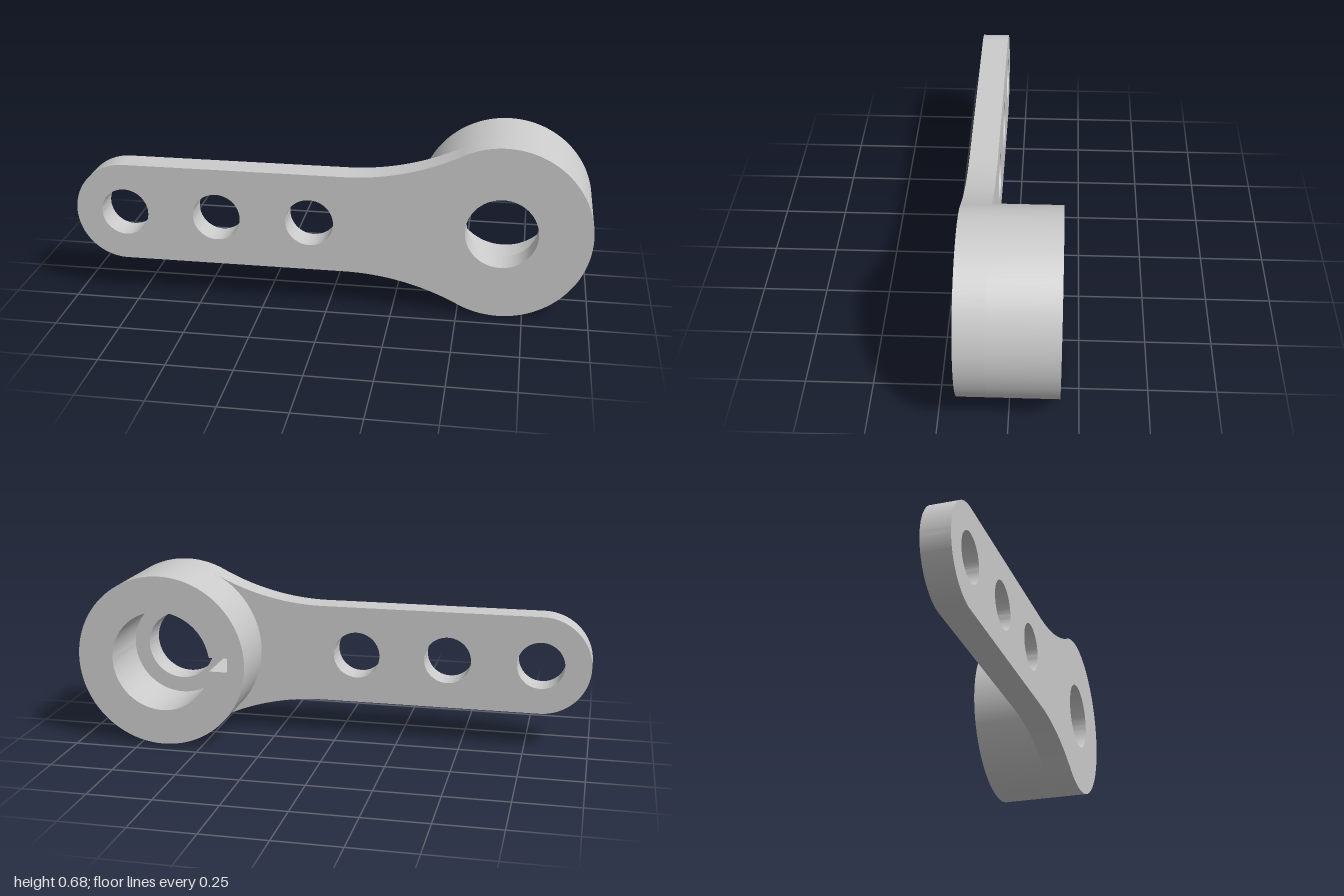
import * as THREE from 'three';
import { toCreasedNormals } from 'three/addons/utils/BufferGeometryUtils.js';

const material = new THREE.MeshStandardMaterial({ color: 0xcccccc });
const AXIS_Y = 0.341;            // height of the lever's centre line
const BACK = -0.182, SEAT = 0.073, FRONT = 0.182;
const HUB_X = 0.659, HUB_R = 0.341;
const END_X = -0.805, ARM_R = 0.195;

function circle(x, r) {
  return new THREE.Path().absarc(x, 0, r, 0, Math.PI * 2, true);
}

// Extrude a profile between two depths, smooth round the curves
function slab(name, shape, z0, z1) {
  const geometry = new THREE.ExtrudeGeometry(shape, {
    depth: z1 - z0, bevelEnabled: false, curveSegments: 64,
  });
  const mesh = new THREE.Mesh(toCreasedNormals(geometry, 0.5), material);
  mesh.name = name;
  mesh.position.set(0, AXIS_Y, z0);
  return mesh;
}

// Arm outline: round end, straight sides, concave fillets tangent to the hub
function armShape() {
  const R = 0.96;
  const filletY = ARM_R + R;
  const dx = Math.sqrt((HUB_R + R) ** 2 - filletY ** 2);
  const x0 = HUB_X - dx;
  const a = Math.atan2(filletY, dx);
  const s = new THREE.Shape();
  s.moveTo(END_X, -ARM_R);
  s.lineTo(x0, -ARM_R);
  s.absarc(x0, -filletY, R, Math.PI / 2, a, true);
  s.absarc(HUB_X, 0, HUB_R, a - Math.PI, Math.PI - a, false);
  s.absarc(x0, filletY, R, -a, -Math.PI / 2, true);
  s.lineTo(END_X, ARM_R);
  s.absarc(END_X, 0, ARM_R, Math.PI / 2, Math.PI * 1.5, false);
  // Three small holes and the narrow front bore
  for (const x of [-0.805, -0.44, -0.075]) s.holes.push(circle(x, 0.093));
  s.holes.push(circle(HUB_X, 0.138));
  return s;
}

// Hub ring: wide bore with a keyway cut towards the arm
function hubShape() {
  const bore = 0.2, keyHalf = 0.028, keyReach = 0.272;
  const k = Math.asin(keyHalf / bore);
  const s = new THREE.Shape().absarc(HUB_X, 0, HUB_R, 0, Math.PI * 2, false);
  const hole = new THREE.Path();
  hole.absarc(HUB_X, 0, bore, Math.PI - k, k - Math.PI, true);
  hole.lineTo(HUB_X - keyReach, -keyHalf);
  hole.lineTo(HUB_X - keyReach, keyHalf);
  hole.closePath();
  s.holes.push(hole);
  return s;
}

export function createModel() {
  const lever = new THREE.Group();
  lever.name = 'leverArm';
  lever.add(slab('armPlate', armShape(), SEAT, FRONT));
  lever.add(slab('keyedHub', hubShape(), BACK, SEAT));
  return lever;
}
